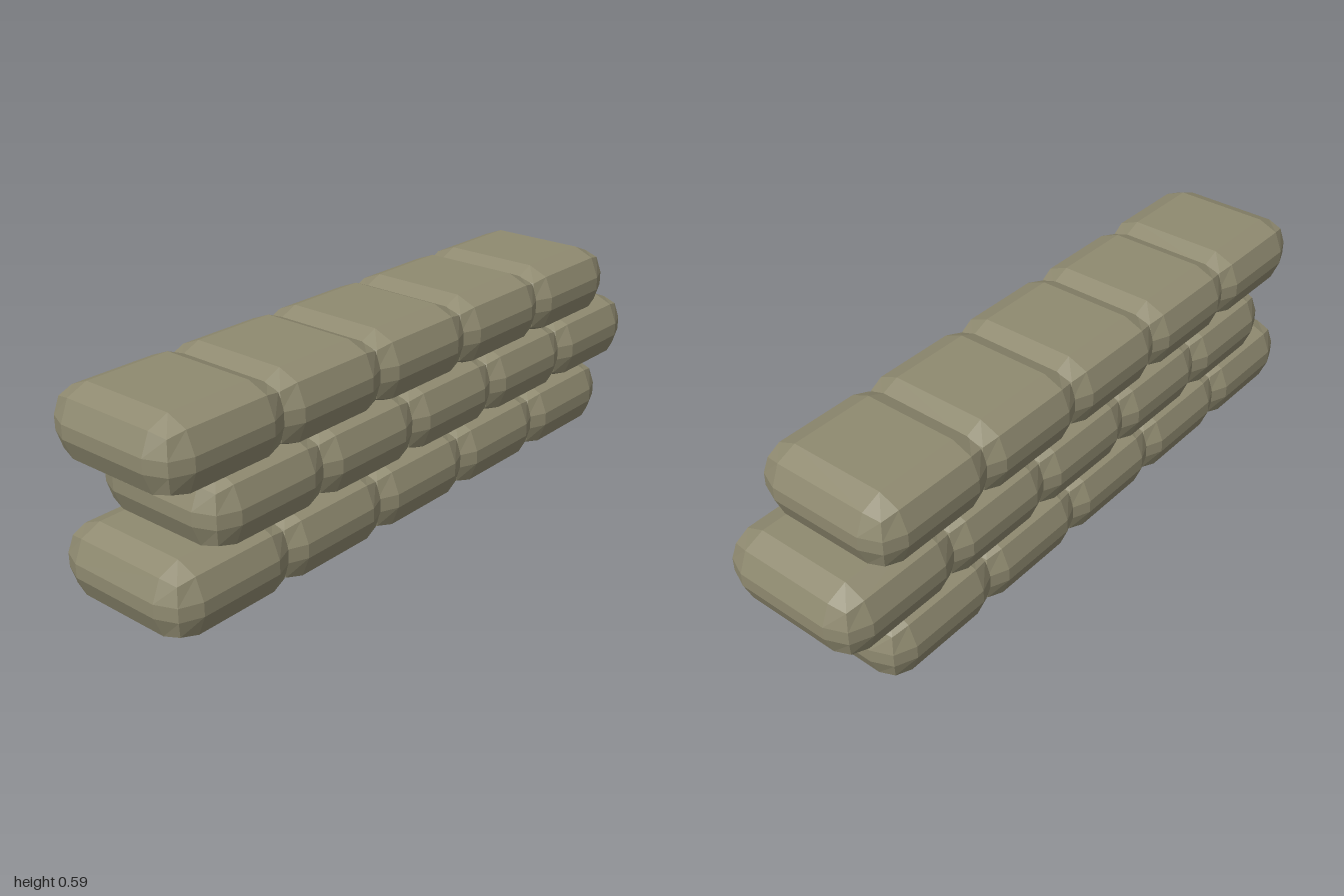
import * as THREE from 'three';
import { RoundedBoxGeometry } from 'three/addons/geometries/RoundedBoxGeometry.js';

const ROWS = 3, BAGS = 5;
const WIDTH = 0.425, HEIGHT = 0.21, DEPTH = 0.46, RADIUS = 0.085;
const PITCH_X = 0.36, PITCH_Y = 0.19; // bags overlap slightly
const STAGGER = 0.0675; // alternate rows shift left and right

export function createModel() {
  const model = new THREE.Group();
  model.name = 'sandbagWall';
  const cloth = new THREE.MeshStandardMaterial({ color: 0x8f8a70, flatShading: true });
  // one coarse, chamfered bag shared by the whole wall
  const bagGeometry = new RoundedBoxGeometry(WIDTH, HEIGHT, DEPTH, 1, RADIUS);

  for (let r = 0; r < ROWS; r++) {
    const row = new THREE.Group();
    row.name = `sandbagRow${r + 1}`;
    row.position.set(r % 2 ? STAGGER : -STAGGER, HEIGHT / 2 + r * PITCH_Y, 0);
    for (let i = 0; i < BAGS; i++) {
      const bag = new THREE.Mesh(bagGeometry, cloth);
      bag.name = `sandbag${i + 1}`;
      bag.position.x = (i - (BAGS - 1) / 2) * PITCH_X;
      row.add(bag);
    }
    model.add(row);
  }
  return model;
}
